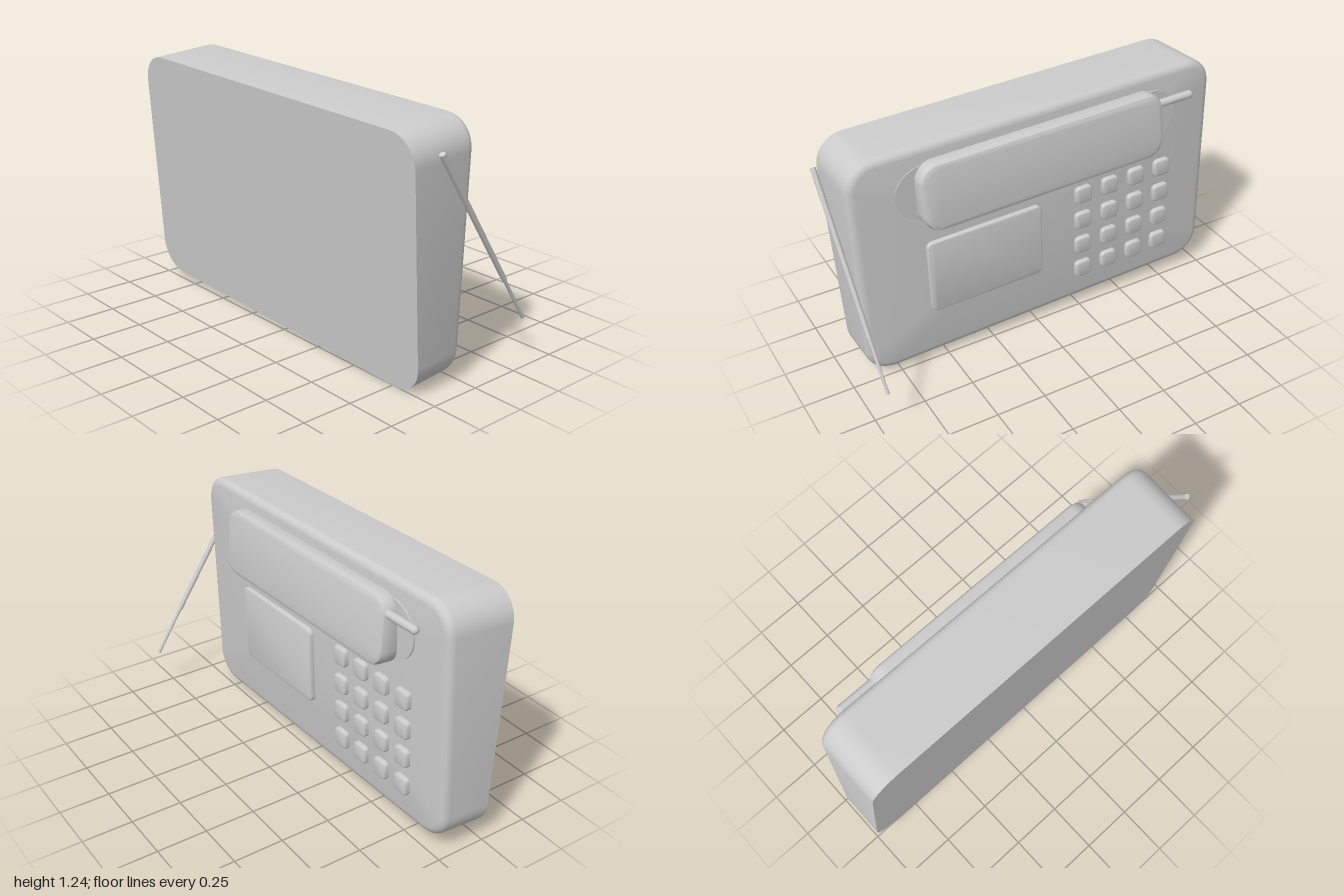
import * as THREE from 'three';
import { toCreasedNormals } from 'three/addons/utils/BufferGeometryUtils.js';

const plastic = new THREE.MeshStandardMaterial({ color: 0xcccccc });
plastic.name = 'grey plastic';
const ROLL = -0.0275; // the whole device leans slightly sideways
const PITCH = 0.08; // tilt of the flat base
const REAR = -0.016; // tilt of the keypad side

// Outline of a rounded rectangle, counter-clockwise; inset keeps the corner centres.
function outline(w, h, r, inset = 0, seg = 8) {
  const pts = [];
  for (let q = 0; q < 4; q++) {
    const cx = (w / 2 - r) * (q === 0 || q === 3 ? 1 : -1);
    const cy = (h / 2 - r) * (q < 2 ? 1 : -1);
    for (let i = 0; i <= seg; i++) {
      const a = (q + i / seg) * Math.PI / 2;
      pts.push(new THREE.Vector2(cx + (r - inset) * Math.cos(a), cy + (r - inset) * Math.sin(a)));
    }
  }
  return pts;
}

// Wedge case: flat base at z = 0, the other side sloped with a rounded edge.
function caseGeometry(w, h, r, bevel) {
  const depth = y => 0.302 + 0.095 * y;
  const rings = [outline(w, h, r).map(p => [p.x, p.y, 0])];
  for (let k = 0; k <= 4; k++) {
    const a = k / 4 * Math.PI / 2;
    rings.push(outline(w, h, r, bevel * (1 - Math.cos(a)))
      .map(p => [p.x, p.y, -depth(p.y) + bevel * (1 - Math.sin(a))]));
  }
  const n = rings[0].length, last = (rings.length - 1) * n;
  const pos = [...rings.flat(), [0, 0, 0], [0, 0, -depth(0)]].flat();
  const front = rings.length * n, back = front + 1;
  const idx = [];
  for (let j = 0; j < n; j++) {
    const k = (j + 1) % n;
    for (let i = 0; i < last; i += n) {
      idx.push(i + j, i + n + j, i + k, i + k, i + n + j, i + n + k);
    }
    idx.push(front, j, k, back, last + k, last + j);
  }
  const g = new THREE.BufferGeometry();
  g.setAttribute('position', new THREE.Float32BufferAttribute(pos, 3));
  g.setIndex(idx);
  return toCreasedNormals(g, 0.5);
}

// Rounded slab with bevelled edges, centred on its origin.
function slabGeometry(w, h, d, r, bevel, segments) {
  const shape = new THREE.Shape(outline(w - 2 * bevel, h - 2 * bevel, r - bevel, 0, 6));
  const g = new THREE.ExtrudeGeometry(shape, {
    depth: d - 2 * bevel, bevelThickness: bevel, bevelSize: bevel, bevelSegments: segments,
  });
  g.translate(0, 0, -d / 2 + bevel);
  return toCreasedNormals(g, 0.5);
}

// Cylinder running between two points.
function rod(a, b, ra, rb, sides, name) {
  const p = new THREE.Vector3(...a), q = new THREE.Vector3(...b);
  const dir = q.clone().sub(p);
  const m = new THREE.Mesh(new THREE.CylinderGeometry(rb, ra, dir.length(), sides), plastic);
  m.position.copy(p).add(q).multiplyScalar(0.5);
  m.quaternion.setFromUnitVectors(new THREE.Vector3(0, 1, 0), dir.normalize());
  m.name = name;
  return m;
}

export function createModel() {
  const model = new THREE.Group();
  model.name = 'cordlessDeskPhone';
  const place = (object, name, x, y, z, pitch) => {
    object.name = name;
    object.position.set(x, y, z);
    object.rotation.set(pitch, 0, ROLL);
    model.add(object);
    return object;
  };
  const slab = (...size) => new THREE.Mesh(slabGeometry(...size), plastic);

  place(new THREE.Mesh(caseGeometry(1.91, 1.17, 0.14, 0.04), plastic), 'case', -0.03, 0.613, 0.303, PITCH);

  // Display and keypad
  place(slab(0.6, 0.4, 0.05, 0.03, 0.01, 2), 'display', 0.28, 0.505, 0.005, REAR);
  const keypad = place(new THREE.Group(), 'keypad', -0.485, 0.472, 0.005, REAR);
  const keyGeometry = slabGeometry(0.09, 0.092, 0.05, 0.022, 0.01, 2);
  for (let row = 0; row < 4; row++) {
    for (let col = 0; col < 4; col++) {
      const key = new THREE.Mesh(keyGeometry, plastic);
      key.name = 'key';
      key.position.set((col - 1.5) * 0.152, (row - 1.5) * 0.15, 0);
      keypad.add(key);
    }
  }

  // Handset resting over two round cradle pads
  const padGeometry = new THREE.CylinderGeometry(0.14, 0.14, 0.03, 32).rotateX(Math.PI / 2);
  for (const [x, y] of [[-0.62, 1.01], [0.58, 0.975]]) {
    place(new THREE.Mesh(padGeometry, plastic), 'cradlePad', x, y, 0.006, REAR);
  }
  place(slab(1.27, 0.335, 0.12, 0.09, 0.025, 2), 'handset', -0.015, 0.983, -0.03, PITCH);
  const stub = new THREE.CapsuleGeometry(0.02, 0.2, 6, 14).rotateZ(Math.PI / 2);
  place(new THREE.Mesh(stub, plastic), 'handsetAntenna', -0.71, 1.1, -0.05, 0);

  // Telescopic antenna beside the case
  model.add(rod([0.985, 1.095, 0.24], [0.967, 0.445, -0.197], 0.014, 0.012, 8, 'antennaTube'));
  model.add(rod([0.967, 0.445, -0.197], [0.96, 0.225, -0.343], 0.008, 0.008, 8, 'antennaTip'));
  return model;
}
